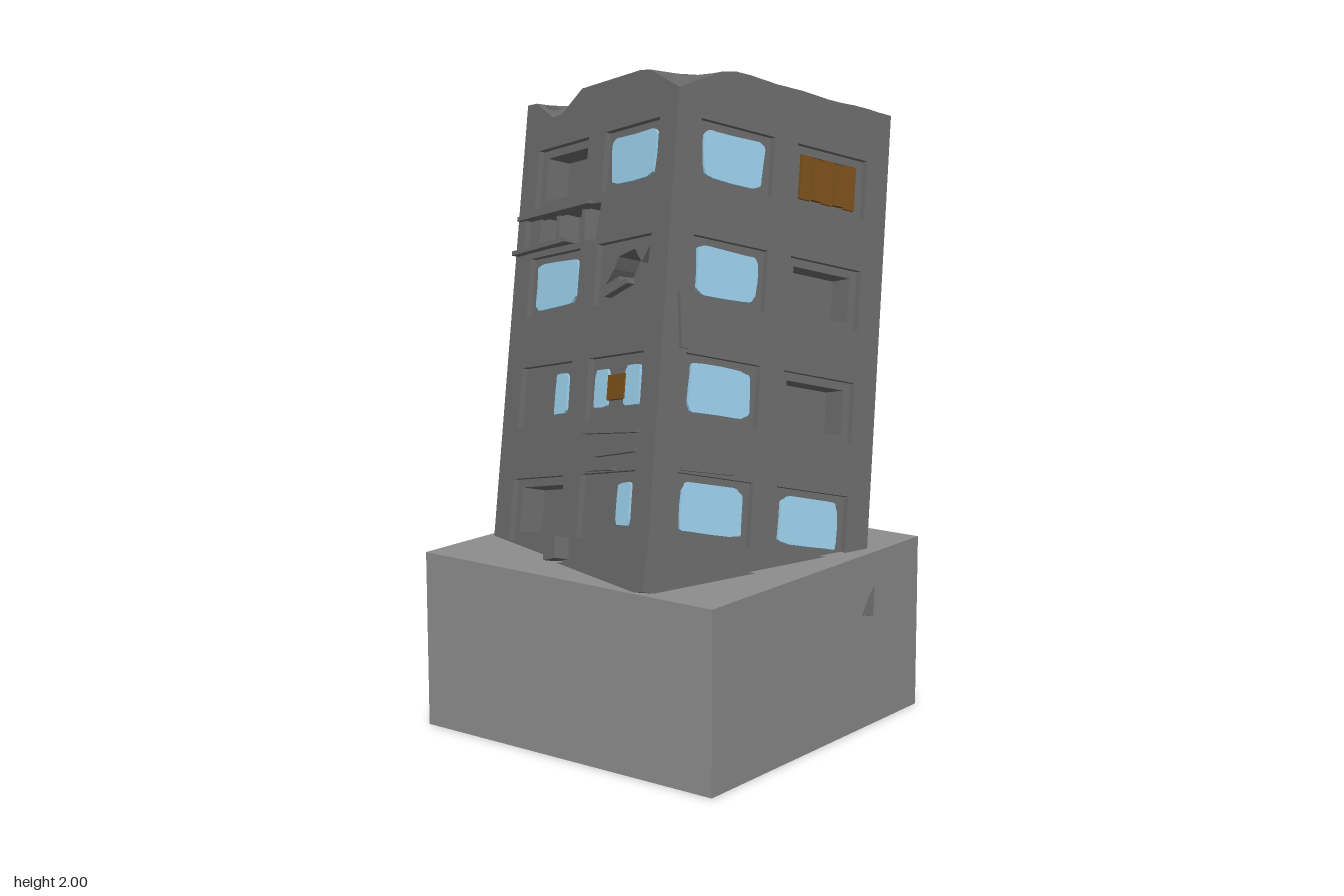
import * as THREE from 'three';

const mat = (name, color, extra = {}) => Object.assign(new THREE.MeshStandardMaterial({ color, ...extra }), { name });
const H = 1.57, R = 0.413, SKIN = 0.02, INNER = 0.08;
const COL = 0.185, ROWS = [1.31, 0.96, 0.61, 0.26];

// Roof height: crushed front corner, a dent on the front edge, faint unevenness
function roofHeight(x, z) {
  const dip = (cx, cz, r, d) => d * Math.max(0, 1 - Math.hypot(x - cx, z - cz) / r);
  return H - dip(R, R, 0.17, 0.09) - dip(-0.235, R, 0.13, 0.08) + 0.004 * Math.sin(x * 23 + z * 9) * Math.cos(z * 19);
}

const rect = (x, y, w, h) => [[x - w / 2, y - h / 2], [x + w / 2, y - h / 2], [x + w / 2, y + h / 2], [x - w / 2, y + h / 2]];
const path = (pts, Type = THREE.Path) => new Type(pts.map(p => new THREE.Vector2(p[0], p[1])));

// Pane with an uneven rounded outline
function paneShape(w, h, seed) {
  const pts = [], n = 28;
  for (let i = 0; i < n; i++) {
    const t = (i / n) * Math.PI * 2, c = Math.cos(t), s = Math.sin(t);
    const k = 1 + 0.03 * Math.sin(t * 3 + seed) + 0.02 * Math.sin(t * 7 + seed * 2);
    pts.push([Math.sign(c) * Math.abs(c) ** 0.28 * w / 2 * k, Math.sign(s) * Math.abs(s) ** 0.28 * h / 2 * k]);
  }
  return path(pts, THREE.Shape);
}

export function createModel() {
  const concrete = mat('concrete', 0x686868);
  const stone = mat('base stone', 0x8c8c8c);
  const glass = mat('window glass', 0x97cae5);
  const wood = mat('boards', 0x774d1a);

  const model = new THREE.Group();
  model.name = 'leaningBuilding';
  const add = (parent, name, geo, material, x = 0, y = 0, z = 0, rz = 0) => {
    const m = new THREE.Mesh(geo, material);
    m.name = name;
    m.position.set(x, y, z);
    m.rotation.z = rz;
    parent.add(m);
    return m;
  };
  const box = (parent, name, material, w, h, d, x, y, z, rz) =>
    add(parent, name, new THREE.BoxGeometry(w, h, d), material, x, y, z, rz);

  // Square block the building is sunk into
  box(model, 'base', stone, 1.085, 0.545, 1.08, 0.077, 0.2725, 0.18);

  // Tilted building frame
  const building = new THREE.Group();
  building.name = 'building';
  const zAxis = new THREE.Vector3(-0.245, 0.195, 0.765).normalize();
  const yAxis = new THREE.Vector3(-0.133, 0.9495, -0.2846);
  yAxis.addScaledVector(zAxis, -yAxis.dot(zAxis)).normalize();
  const xAxis = new THREE.Vector3().crossVectors(yAxis, zAxis);
  building.quaternion.setFromRotationMatrix(new THREE.Matrix4().makeBasis(xAxis, yAxis, zAxis));
  building.position.set(0.094, 0.362, 0.209);
  model.add(building);

  // Core behind the openings, and the flared foot
  const core = 2 * (R - SKIN - INNER);
  box(building, 'core', concrete, core, 1.44, core, 0, 0.72, 0);
  box(building, 'plinth', concrete, 0.868, 0.09, 0.868, 0, 0.045, 0);

  // Uneven roof
  let roof = new THREE.PlaneGeometry(2 * R, 2 * R, 16, 16).rotateX(-Math.PI / 2);
  const rp = roof.attributes.position;
  for (let i = 0; i < rp.count; i++) rp.setY(i, roofHeight(rp.getX(i), rp.getZ(i)));
  roof = roof.toNonIndexed();
  roof.computeVertexNormals();
  add(building, 'roof', roof, concrete);

  // Openings per wall, top row first: G glass, H hole, B broken hole, W boards, T three panes, L/R narrow pane
  const walls = [
    ['frontWall', 0, ['HG', 'GB', 'RT', 'HR']],
    ['rightSideWall', Math.PI / 2, ['GW', 'GH', 'GH', 'GG']],
    ['backWall', Math.PI, ['GH', 'HG', 'GH', 'GH']],
    ['leftSideWall', -Math.PI / 2, ['GG', 'GB', 'HG', 'HG']],
  ];
  let seed = 0;
  for (const [name, turn, rows] of walls) {
    const wall = new THREE.Group();
    wall.name = name;
    wall.rotation.y = turn;
    building.add(wall);

    const outline = (half, drop) => {
      const pts = [[-half, 0], [half, 0]];
      for (let i = 16; i >= 0; i--) {
        const a = R * (i / 8 - 1);
        const y = roofHeight(a * Math.cos(turn) + R * Math.sin(turn), R * Math.cos(turn) - a * Math.sin(turn));
        pts.push([a * half / R, y - drop]);
      }
      return path(pts, THREE.Shape);
    };
    const skin = outline(R, 0), inner = outline(R - SKIN, 0.012);
    const face = R - SKIN;

    rows.forEach((row, r) => [...row].forEach((kind, c) => {
      const x = c ? COL : -COL, y = ROWS[r];
      const pane = (dx, w, h = 0.145) => add(wall, 'windowPane',
        new THREE.ExtrudeGeometry(paneShape(w, h, seed++), { depth: 0.008, bevelEnabled: false }), glass, x + dx, y, face);
      skin.holes.push(path(rect(x, y, 0.28, 0.19)));
      if (kind === 'G') pane(0, 0.225);
      if (kind === 'R') pane(0.073, 0.065, 0.125);
      if (kind === 'T') {
        pane(-0.082, 0.07, 0.115);
        pane(0.075, 0.075, 0.12);
        box(wall, 'board', wood, 0.085, 0.075, 0.014, x, y, face + 0.006);
      }
      if (kind === 'W') {
        for (let i = -2; i <= 2; i++)
          box(wall, 'board', wood, 0.042, 0.138 - 0.008 * Math.abs(i % 2), 0.012 + 0.004 * (i & 1), x + i * 0.044, y, face);
      }
      if ('HW'.includes(kind)) inner.holes.push(path(rect(x, y, 0.225, 0.14)));
      if (kind === 'B') {
        inner.holes.push(path([[-0.11, -0.03], [-0.04, -0.01], [-0.03, -0.065], [0.0, -0.02], [0.1, -0.03],
          [0.11, 0.07], [0.07, 0.02], [0.03, 0.065], [-0.05, 0.05], [-0.07, 0.015]].map(p => [x + p[0], y + p[1]])));
        box(wall, 'brokenSlab', concrete, 0.12, 0.018, 0.05, x - 0.02, y - 0.05, face, 0.25);
      }
    }));

    // Torn gash with dividers and a jutting floor between the upper storeys
    if (name === 'frontWall') {
      const gash = [[-0.37, 1.085], [-0.2, 1.075], [0.03, 1.075], [0.05, 1.185], [-0.12, 1.195], [-0.37, 1.19]];
      skin.holes.push(path(gash));
      inner.holes.push(path(gash));
      for (const x of [-0.22, -0.08]) box(wall, 'gashDivider', concrete, 0.018, 0.12, 0.075, x, 1.135, 0.35, 0.08);
      box(wall, 'jutFloor', concrete, 0.3, 0.014, 0.07, -0.25, 1.082, R - 0.01, 0.03);
      box(wall, 'jutLintel', concrete, 0.4, 0.014, 0.05, -0.2, 1.193, R - 0.01, 0.01);
      // Cracked ledges and rubble lower down
      box(wall, 'ledge', concrete, 0.27, 0.014, 0.035, 0.2, 0.475, R, -0.04);
      box(wall, 'ledge', concrete, 0.2, 0.012, 0.03, 0.23, 0.41, R, 0.03);
      box(wall, 'ledge', concrete, 0.14, 0.012, 0.03, 0.16, 0.365, R, -0.02);
      box(wall, 'rubble', concrete, 0.06, 0.065, 0.06, -0.02, 0.13, R + 0.02, 0.1);
    }
    // Peeled plates near the crushed corner
    if (name === 'rightSideWall') {
      box(wall, 'peeledPlate', concrete, 0.03, 0.17, 0.025, -0.345, 0.8, R, 0.12);
      box(wall, 'ledge', concrete, 0.2, 0.012, 0.025, -0.22, 0.37, R, 0.03);
    }
    // Slabs hanging from the broken side
    if (name === 'leftSideWall') {
      const slab = box(wall, 'hangingSlab', concrete, 0.11, 0.12, 0.03, 0.03, 1.1, R, 0.3);
      slab.rotation.x = -0.35;
      box(wall, 'ledge', concrete, 0.2, 0.016, 0.05, 0.2, 0.44, R, -0.1);
    }

    add(wall, 'outerWall', new THREE.ExtrudeGeometry(skin, { depth: SKIN, bevelEnabled: false }), concrete, 0, 0, face);
    add(wall, 'innerWall', new THREE.ExtrudeGeometry(inner, { depth: INNER, bevelEnabled: false }), concrete, 0, 0, face - INNER);
  }
  return model;
}
